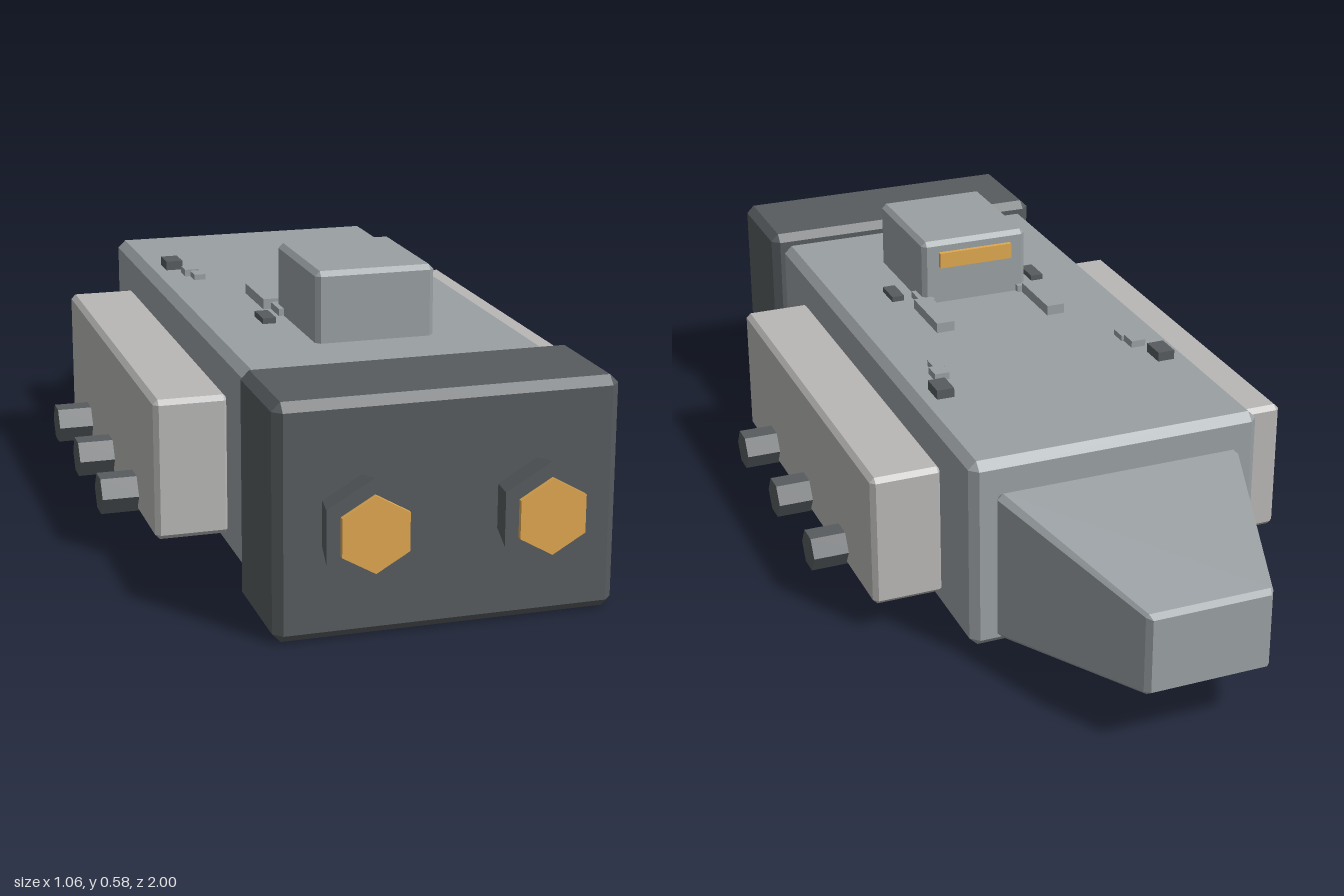
import * as THREE from 'three';
import { ConvexGeometry } from 'three/addons/geometries/ConvexGeometry.js';

const mat = (color) => new THREE.MeshStandardMaterial({ color, flatShading: true });

// Chamfered box between two corners; taper(p) may move its points
function chamferBox(min, max, c, taper) {
  const points = [];
  for (const x of [0, 1]) for (const y of [0, 1]) for (const z of [0, 1]) {
    const side = [x, y, z];
    for (let full = 0; full < 3; full++) {
      const p = new THREE.Vector3(...side.map((s, i) => {
        const inset = i === full ? 0 : c;
        return s ? max[i] - inset : min[i] + inset;
      }));
      if (taper) taper(p);
      points.push(p);
    }
  }
  return new ConvexGeometry(points);
}

export function createModel() {
  const ship = new THREE.Group();
  ship.name = 'spaceship';
  const hullGrey = mat(0x9aa0a3);
  const darkGrey = mat(0x575c5f);
  const podGrey = mat(0xb8b7b6);
  const amber = mat(0xe0a850);

  const add = (name, geometry, material) => {
    const mesh = new THREE.Mesh(geometry, material);
    mesh.name = name;
    ship.add(mesh);
    return mesh;
  };
  const addBox = (name, min, max, material) => {
    const size = max.map((v, i) => v - min[i]);
    const mesh = add(name, new THREE.BoxGeometry(...size), material);
    mesh.position.set(...min.map((v, i) => (v + max[i]) / 2));
  };

  // Main body and engine block
  add('hull', chamferBox([-0.31, 0.03, -0.585], [0.31, 0.44, 0.665], 0.017), hullGrey);
  add('engineBlock', chamferBox([-0.332, 0.005, 0.668], [0.332, 0.46, 0.915], 0.017), darkGrey);

  // Nose, narrowing towards its tip
  const nose = chamferBox([-0.262, 0.05, -1], [0.262, 0.375, -0.583], 0.012, (p) => {
    const t = (-0.59 - p.z) / 0.41;
    p.x *= 1 - 0.52 * t;
    p.y = 0.2125 + (p.y - 0.2125) * (1 - 0.49 * t);
  });
  add('nose', nose, hullGrey);

  // Cabin with its window slit
  add('cabin', chamferBox([-0.123, 0.43, 0.19], [0.123, 0.585, 0.475], 0.01), hullGrey);
  addBox('cabinWindow', [-0.085, 0.525, 0.18], [0.085, 0.56, 0.2], amber);

  for (const s of [1, -1]) {
    const side = s > 0 ? 'left' : 'right';
    const span = (a, b) => (s > 0 ? [a, b] : [-b, -a]);

    // Side pod
    const [p0, p1] = span(0.305, 0.456);
    add(side + 'Pod', chamferBox([p0, 0.068, -0.415], [p1, 0.355, 0.492], 0.01), podGrey);

    // Hexagonal side guns
    for (const z of [0.29, 0.04, -0.21]) {
      const gun = add(side + 'Gun', new THREE.CylinderGeometry(0.043, 0.043, 0.1, 6), darkGrey);
      gun.rotation.z = Math.PI / 2;
      gun.position.set(s * 0.481, 0.107, z);
    }

    // Flared hexagonal thruster and its glowing core
    const thruster = add(side + 'Thruster', new THREE.CylinderGeometry(0.103, 0.083, 0.09, 6), darkGrey);
    thruster.rotation.x = Math.PI / 2;
    thruster.position.set(s * 0.168, 0.232, 0.945);
    const glow = add(side + 'ThrusterGlow', new THREE.CylinderGeometry(0.073, 0.073, 0.04, 6), amber);
    glow.rotation.x = Math.PI / 2;
    glow.position.set(s * 0.168, 0.232, 0.98);

    // Small deck fittings: x range, z range, top, material
    const fittings = [
      [0.23, 0.267, -0.285, -0.23, 0.46, darkGrey],
      [0.208, 0.24, -0.2, -0.16, 0.455, hullGrey],
      [0.203, 0.228, -0.16, -0.12, 0.452, hullGrey],
      [0.11, 0.15, 0.03, 0.178, 0.462, hullGrey],
      [0.1, 0.134, 0.178, 0.24, 0.455, hullGrey],
      [0.155, 0.183, 0.23, 0.295, 0.452, darkGrey],
    ];
    for (const [xa, xb, za, zb, top, material] of fittings) {
      const [x0, x1] = span(xa, xb);
      addBox(side + 'DeckFitting', [x0, 0.43, za], [x1, top, zb], material);
    }
  }
  return ship;
}
